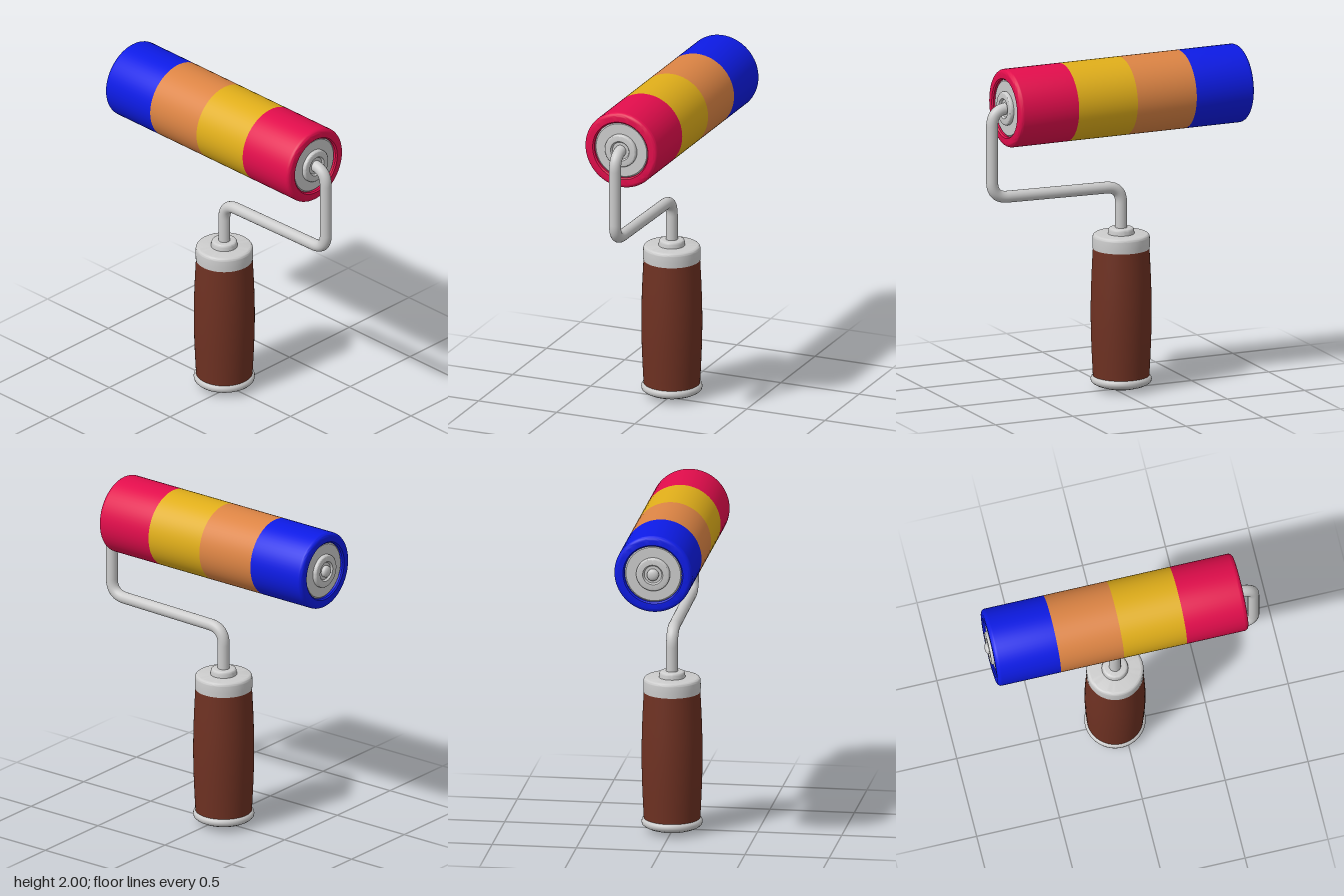
import * as THREE from 'three';
import { toCreasedNormals } from 'three/addons/utils/BufferGeometryUtils.js';

const AXIS_Y = 1.77, HANDLE_X = -0.045;
const GREY = 0xcccccc;

function add(group, name, geometry, color = GREY) {
  const mesh = new THREE.Mesh(geometry, new THREE.MeshStandardMaterial({ color }));
  mesh.name = name;
  group.add(mesh);
  return mesh;
}

// Profile of [radius, height] pairs, listed from the bottom up
function turned(profile, segments = 64) {
  const points = profile.map(([r, y]) => new THREE.Vector2(r, y));
  return toCreasedNormals(new THREE.LatheGeometry(points, segments), 0.6);
}

// Quarter-round corner from angle a0 to a1, in [radius, height] pairs
function arc(cx, cy, r, a0, a1, n = 6) {
  return Array.from({ length: n + 1 }, (_, i) => {
    const a = a0 + (a1 - a0) * i / n;
    return [cx + r * Math.cos(a), cy + r * Math.sin(a)];
  });
}

// Straight runs joined by rounded bends
function bentPath(corners, radius) {
  const path = new THREE.CurvePath();
  let from = corners[0];
  for (let i = 1; i < corners.length - 1; i++) {
    const c = corners[i];
    const a = c.clone().add(corners[i - 1].clone().sub(c).setLength(radius));
    const b = c.clone().add(corners[i + 1].clone().sub(c).setLength(radius));
    path.add(new THREE.LineCurve3(from, a));
    path.add(new THREE.QuadraticBezierCurve3(a, c, b));
    from = b;
  }
  path.add(new THREE.LineCurve3(from, corners[corners.length - 1]));
  return path;
}

export function createModel() {
  const model = new THREE.Group();
  model.name = 'paintRoller';
  const H = Math.PI / 2;

  // Handle: domed end cap, swelling grip, ferrule and collar
  const handle = new THREE.Group();
  handle.name = 'handle';
  handle.position.x = HANDLE_X;
  model.add(handle);
  add(handle, 'endCap', turned([
    [0, 0], [0.05, 0.003], [0.1, 0.012], [0.145, 0.026], [0.168, 0.038],
    [0.177, 0.047], [0.18, 0.06], [0.177, 0.073], [0.168, 0.082], [0.155, 0.086], [0, 0.086],
  ]));
  const grip = [];
  for (let i = 0; i <= 16; i++) {
    const t = i / 16;
    grip.push([0.166 + 0.013 * Math.sin(Math.PI * t), 0.08 + 0.775 * t]);
  }
  add(handle, 'grip', turned(grip), 0x6e3122);
  add(handle, 'ferrule', turned([
    [0, 0.85], [0.168, 0.85], [0.169, 0.88],
    ...arc(0.148, 0.918, 0.02, 0, H), [0, 0.938],
  ]));
  add(handle, 'collar', turned([
    [0, 0.93], [0.078, 0.93], [0.078, 0.945], ...arc(0.06, 0.96, 0.015, 0, H), [0, 0.975],
  ], 48));

  // Bent wire frame, running through the roller
  const P = (x, y) => new THREE.Vector3(x, y, 0);
  const path = bentPath([
    P(HANDLE_X, 0.95), P(HANDLE_X, 1.222), P(0.79, 1.237), P(0.79, AXIS_Y), P(-0.815, AXIS_Y),
  ], 0.1);
  path.curves.forEach((curve, i) => {
    const segments = curve.isLineCurve3 ? 1 : 14;
    add(model, 'frameRod', new THREE.TubeGeometry(curve, segments, 0.035, 20));
  });
  const tip = add(model, 'rodTip', new THREE.SphereGeometry(0.035, 20, 12));
  tip.scale.x = 0.5;
  tip.position.set(-0.814, AXIS_Y, 0);

  // Roller, turned about y and laid along x
  const roller = new THREE.Group();
  roller.name = 'roller';
  roller.position.y = AXIS_Y;
  roller.rotation.z = -H;
  model.add(roller);
  const R = 0.232, r = 0.17, c = 0.025, x0 = -0.805, x1 = 0.71;
  add(roller, 'blueSleeve', turned([
    [r, x0 + 0.06], [r, x0 + 0.008], [r + 0.008, x0],
    ...arc(R - c, x0 + c, c, -H, 0), [R, -0.427],
  ]), 0x0d1be6);
  add(roller, 'orangeSleeve', turned([[R, -0.427], [R, -0.046]]), 0xdc8444);
  add(roller, 'yellowSleeve', turned([[R, -0.046], [R, 0.334]]), 0xe0ae1a);
  add(roller, 'redSleeve', turned([
    [R, 0.334], ...arc(R - c, x1 - c, c, 0, H),
    [r + 0.008, x1], [r, x1 - 0.008], [r, x1 - 0.06],
  ]), 0xe20d4c);

  // Matching end plates with a raised hub
  for (const [name, end, dir] of [['leftEndPlate', x1, 1], ['rightEndPlate', x0, -1]]) {
    const plate = add(roller, name, turned([
      [r, -0.05], [r, -0.022], [r - 0.008, -0.015], [0.1, -0.015],
      [0.1, -0.002], ...arc(0.09, -0.002, 0.01, 0, H, 3),
      [0.06, 0.008], [0.052, -0.004], [0, -0.004],
    ]));
    plate.position.y = end;
    if (dir < 0) plate.rotation.x = Math.PI;
  }
  return model;
}
